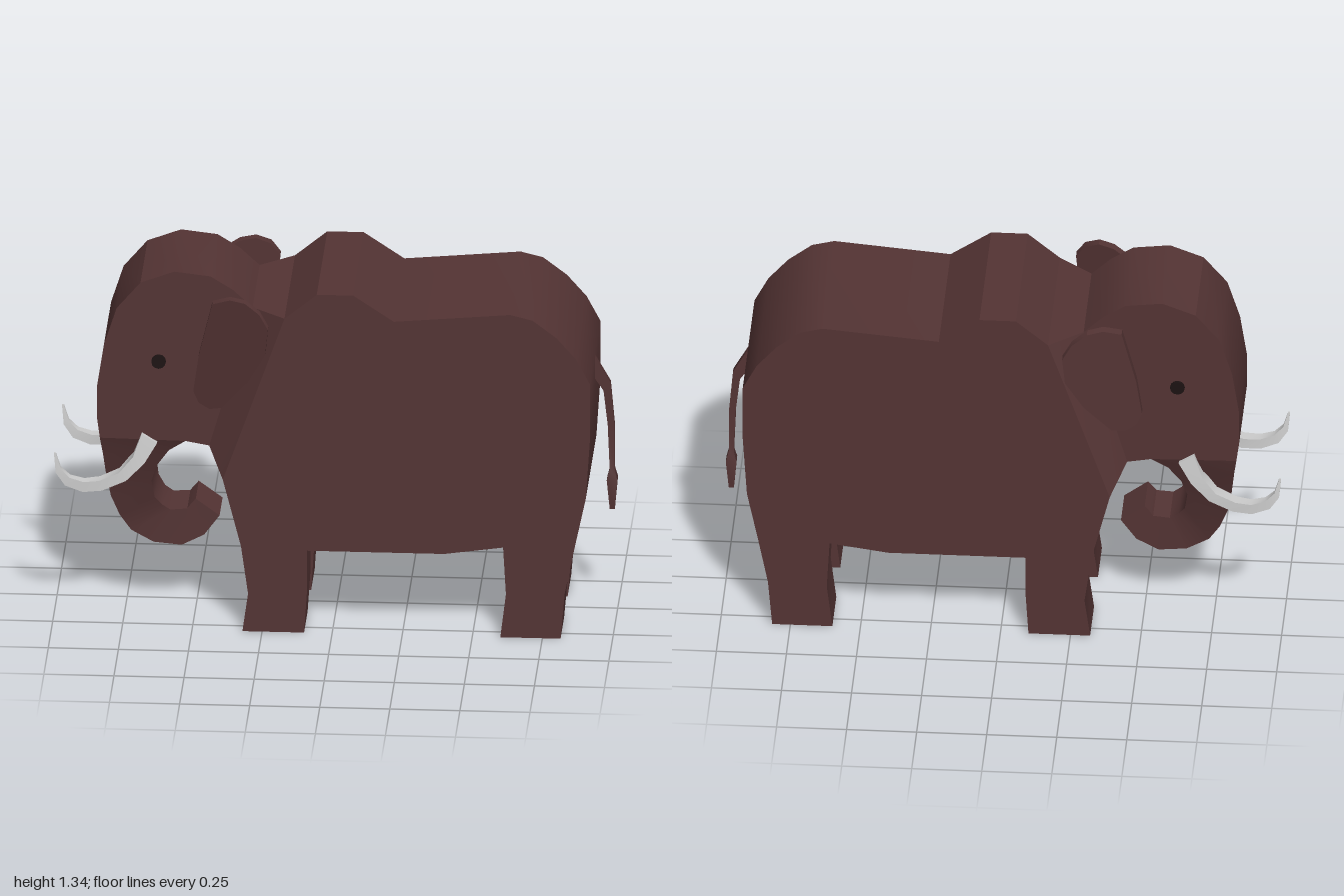
import * as THREE from 'three';
import { toCreasedNormals } from 'three/addons/utils/BufferGeometryUtils.js';

const CREASE = 0.5;
const hide = new THREE.MeshStandardMaterial({ color: 0x543434 });
const dark = new THREE.MeshStandardMaterial({ color: 0x1c1212 });
const grey = new THREE.MeshStandardMaterial({ color: 0xcccccc });

// Side outline extruded along z, centred on z = 0
function slab(outline, depth) {
  const shape = new THREE.Shape(outline.map(([x, y]) => new THREE.Vector2(x, y)));
  const geo = new THREE.ExtrudeGeometry(shape, { depth, bevelEnabled: false });
  return geo.translate(0, 0, -depth / 2);
}

// Box-section loft; each section is [x1, y1, x2, y2, halfWidth, zCentre]
function loft(sections, side = 1) {
  const pos = [], index = [];
  for (const [x1, y1, x2, y2, w, c = 0] of sections) {
    const z = c * side;
    pos.push(x1, y1, z + w, x2, y2, z + w, x2, y2, z - w, x1, y1, z - w);
  }
  const last = (sections.length - 1) * 4;
  for (let i = 0; i < last; i += 4) {
    for (let k = 0; k < 4; k++) {
      const n = (k + 1) % 4;
      index.push(i + k, i + 4 + k, i + 4 + n, i + k, i + 4 + n, i + n);
    }
  }
  index.push(0, 1, 2, 0, 2, 3, last, last + 2, last + 1, last, last + 3, last + 2);
  const geo = new THREE.BufferGeometry();
  geo.setAttribute('position', new THREE.Float32BufferAttribute(pos, 3));
  geo.setIndex(index);
  return geo;
}

export function createModel() {
  const model = new THREE.Group();
  model.name = 'elephant';

  const add = (name, geo, material = hide) => {
    const flat = geo.index ? geo.toNonIndexed() : geo;
    flat.computeVertexNormals();
    const mesh = new THREE.Mesh(toCreasedNormals(flat, CREASE), material);
    mesh.name = name;
    model.add(mesh);
    return mesh;
  };

  // Torso with shoulder hump and rounded rump
  add('torso', slab([
    [-0.39, 0.58], [-0.325, 0.325], [-0.09, 0.315], [0.40, 0.315], [0.61, 0.345],
    [0.865, 0.35], [0.905, 0.54], [0.92, 0.77], [0.92, 0.98], [0.87, 1.075],
    [0.80, 1.155], [0.715, 1.22], [0.635, 1.24], [0.22, 1.203], [0.075, 1.30],
    [-0.055, 1.30], [-0.17, 1.205],
  ], 0.6));

  // Neck narrowing from the shoulders to the head
  add('neck', loft([
    [-0.17, 1.205, -0.39, 0.58, 0.3],
    [-0.29, 1.205, -0.445, 0.67, 0.2],
  ]));

  // Head
  add('head', slab([
    [-0.29, 1.205], [-0.36, 1.27], [-0.44, 1.32], [-0.57, 1.335], [-0.69, 1.29],
    [-0.775, 1.19], [-0.82, 1.05], [-0.845, 0.89], [-0.845, 0.765], [-0.835, 0.69],
    [-0.53, 0.685], [-0.445, 0.67],
  ], 0.4));

  // Trunk, tapering and curling back under the head
  add('trunk', loft([
    [-0.835, 0.69, -0.53, 0.685, 0.2],
    [-0.825, 0.62, -0.59, 0.64, 0.18],
    [-0.815, 0.53, -0.635, 0.57, 0.155],
    [-0.80, 0.44, -0.655, 0.50, 0.13],
    [-0.77, 0.36, -0.645, 0.43, 0.11],
    [-0.73, 0.295, -0.62, 0.395, 0.092],
    [-0.65, 0.25, -0.59, 0.375, 0.09],
    [-0.55, 0.24, -0.53, 0.38, 0.088],
    [-0.47, 0.28, -0.515, 0.40, 0.085],
    [-0.415, 0.355, -0.50, 0.417, 0.085],
  ]));

  // Tail with tuft
  add('tail', loft([
    [0.91, 0.90, 0.91, 0.985, 0.012],
    [0.95, 0.84, 0.975, 0.87, 0.012],
    [0.965, 0.71, 0.99, 0.70, 0.012],
    [0.972, 0.54, 0.99, 0.54, 0.012],
    [0.962, 0.50, 1.0, 0.50, 0.022],
    [0.972, 0.385, 0.99, 0.385, 0.01],
  ]));

  const frontLeg = [[-0.325, 0.325], [-0.30, 0.145], [-0.32, 0], [-0.10, 0], [-0.09, 0.155], [-0.09, 0.315]];
  const rearLeg = [[0.61, 0.345], [0.62, 0.165], [0.60, 0], [0.815, 0], [0.83, 0.175], [0.865, 0.35]];
  const earOutline = [
    [-0.43, 1.24], [-0.365, 1.27], [-0.31, 1.27], [-0.257, 1.24], [-0.225, 1.19], [-0.235, 1.09],
    [-0.30, 0.97], [-0.395, 0.85], [-0.44, 0.835], [-0.48, 0.85], [-0.50, 0.89], [-0.48, 1.03],
  ];
  const tusk = [
    [-0.685, 0.715, -0.63, 0.68, 0.03, 0.185],
    [-0.715, 0.63, -0.675, 0.605, 0.028, 0.2],
    [-0.765, 0.57, -0.74, 0.54, 0.026, 0.21],
    [-0.835, 0.54, -0.825, 0.503, 0.023, 0.218],
    [-0.89, 0.535, -0.893, 0.497, 0.02, 0.224],
    [-0.94, 0.55, -0.957, 0.52, 0.016, 0.226],
    [-0.973, 0.583, -0.99, 0.567, 0.011, 0.228],
    [-0.99, 0.64, -0.997, 0.64, 0.003, 0.228],
  ];

  // Paired parts on both flanks
  for (const side of [1, -1]) {
    add('frontLeg', slab(frontLeg, 0.2)).position.z = side * 0.2;
    add('rearLeg', slab(rearLeg, 0.2)).position.z = side * 0.2;
    add('tusk', loft(tusk, side), grey);

    // Ear splays outward towards its rear edge
    const ear = slab(earOutline, 0.035);
    const p = ear.attributes.position;
    for (let i = 0; i < p.count; i++) {
      p.setZ(i, p.getZ(i) + side * (0.2125 + 0.52 * (p.getX(i) + 0.5)));
    }
    add('ear', ear);

    const eye = new THREE.CylinderGeometry(0.026, 0.026, 0.02, 12).rotateX(Math.PI / 2);
    add('eye', eye, dark).position.set(-0.625, 0.99, side * 0.2);
  }
  return model;
}
